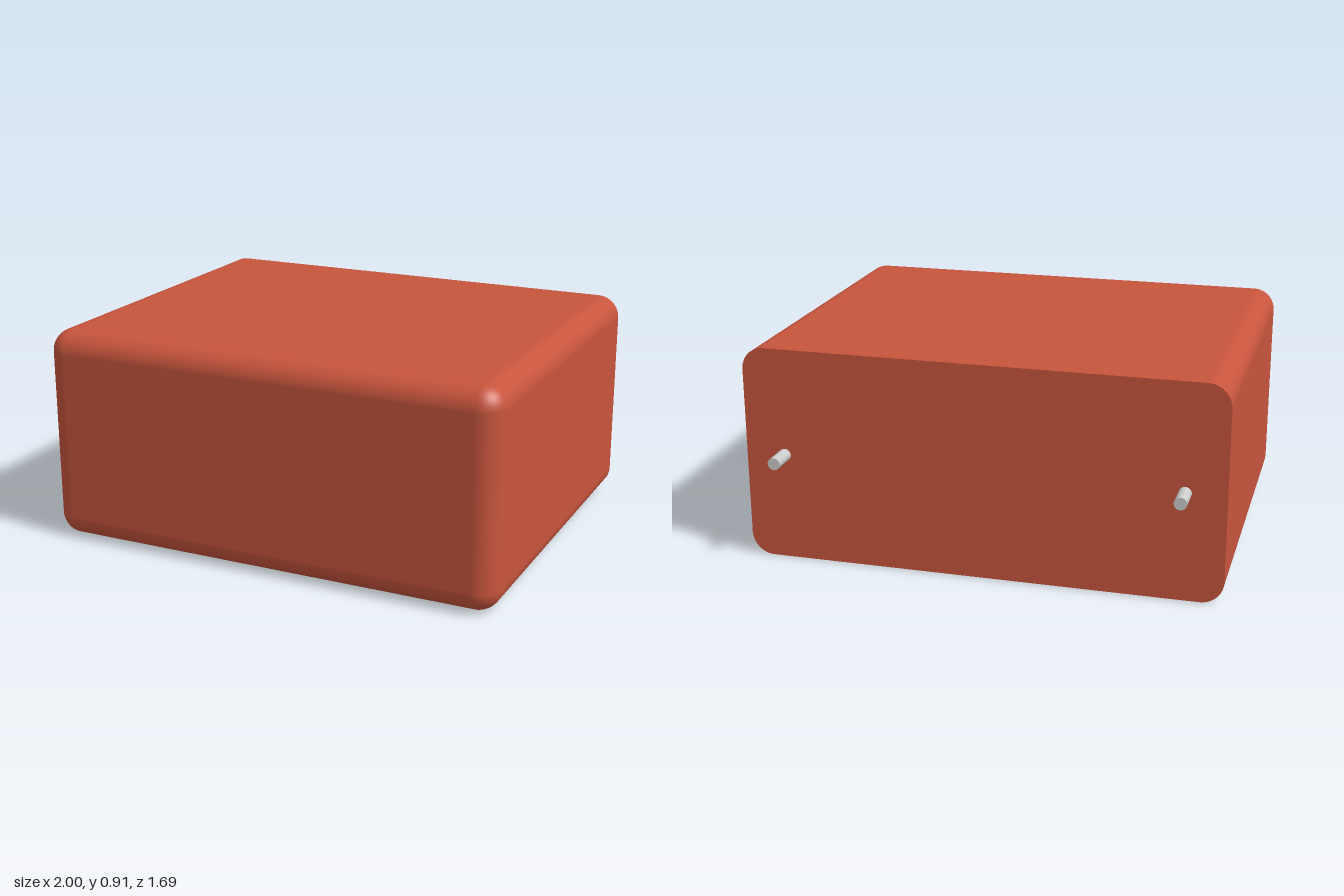
import * as THREE from 'three';

const W = 2, H = 0.91, R = 0.095;      // body width, height, edge radius
const BACK = -0.73, FRONT = 0.845;     // body extent in z
const SEG = 12;                        // steps per rounded corner

// Box with rounded sides and front, and a flat, sharp-edged back
function bodyGeometry() {
  const pos = [], nor = [], idx = [];
  const count = 4 * (SEG + 1);

  // One closed rounded-rectangle outline; tilt turns it towards the front
  function ring(z, tilt, flatNormal) {
    const start = pos.length / 3;
    const c = Math.cos(tilt), s = Math.sin(tilt);
    for (let q = 0; q < 4; q++) {
      const cx = (q === 0 || q === 3 ? 1 : -1) * (W / 2 - R);
      const cy = (q < 2 ? 1 : -1) * (H / 2 - R);
      for (let k = 0; k <= SEG; k++) {
        const a = (q + k / SEG) * Math.PI / 2;
        const nx = Math.cos(a) * c, ny = Math.sin(a) * c;
        pos.push(cx + nx * R, cy + ny * R, z + s * R);
        if (flatNormal) nor.push(0, 0, flatNormal);
        else nor.push(nx, ny, s);
      }
    }
    return start;
  }

  function join(a, b) {
    for (let j = 0; j < count; j++) {
      const k = (j + 1) % count;
      idx.push(a + j, a + k, b + k, a + j, b + k, b + j);
    }
  }

  function cap(start, z, dir) {
    const centre = pos.length / 3;
    pos.push(0, 0, z);
    nor.push(0, 0, dir);
    for (let j = 0; j < count; j++) {
      const k = (j + 1) % count;
      if (dir > 0) idx.push(centre, start + j, start + k);
      else idx.push(centre, start + k, start + j);
    }
  }

  // Straight walls, then the rounded front edge
  let last = ring(BACK, 0);
  for (let i = 0; i <= SEG; i++) {
    const next = ring(FRONT - R, (i / SEG) * Math.PI / 2);
    join(last, next);
    last = next;
  }
  cap(last, FRONT, 1);
  cap(ring(BACK, 0, -1), BACK, -1);

  const g = new THREE.BufferGeometry();
  g.setAttribute('position', new THREE.Float32BufferAttribute(pos, 3));
  g.setAttribute('normal', new THREE.Float32BufferAttribute(nor, 3));
  g.setIndex(idx);
  return g;
}

export function createModel() {
  const model = new THREE.Group();
  model.name = 'roundedBlock';

  const body = new THREE.Mesh(bodyGeometry(), new THREE.MeshStandardMaterial({ color: 0xc8553d }));
  body.name = 'body';
  body.position.y = H / 2;
  model.add(body);

  // Two mounting pins on the back
  const length = 0.115;
  const pinGeometry = new THREE.CylinderGeometry(0.026, 0.026, length, 32).rotateX(Math.PI / 2);
  const pinMaterial = new THREE.MeshStandardMaterial({ color: 0xcccccc });
  for (const side of [1, -1]) {
    const pin = new THREE.Mesh(pinGeometry, pinMaterial);
    pin.name = side > 0 ? 'leftPin' : 'rightPin';
    pin.position.set(side * 0.833, 0.457, BACK - length / 2);
    model.add(pin);
  }
  return model;
}
